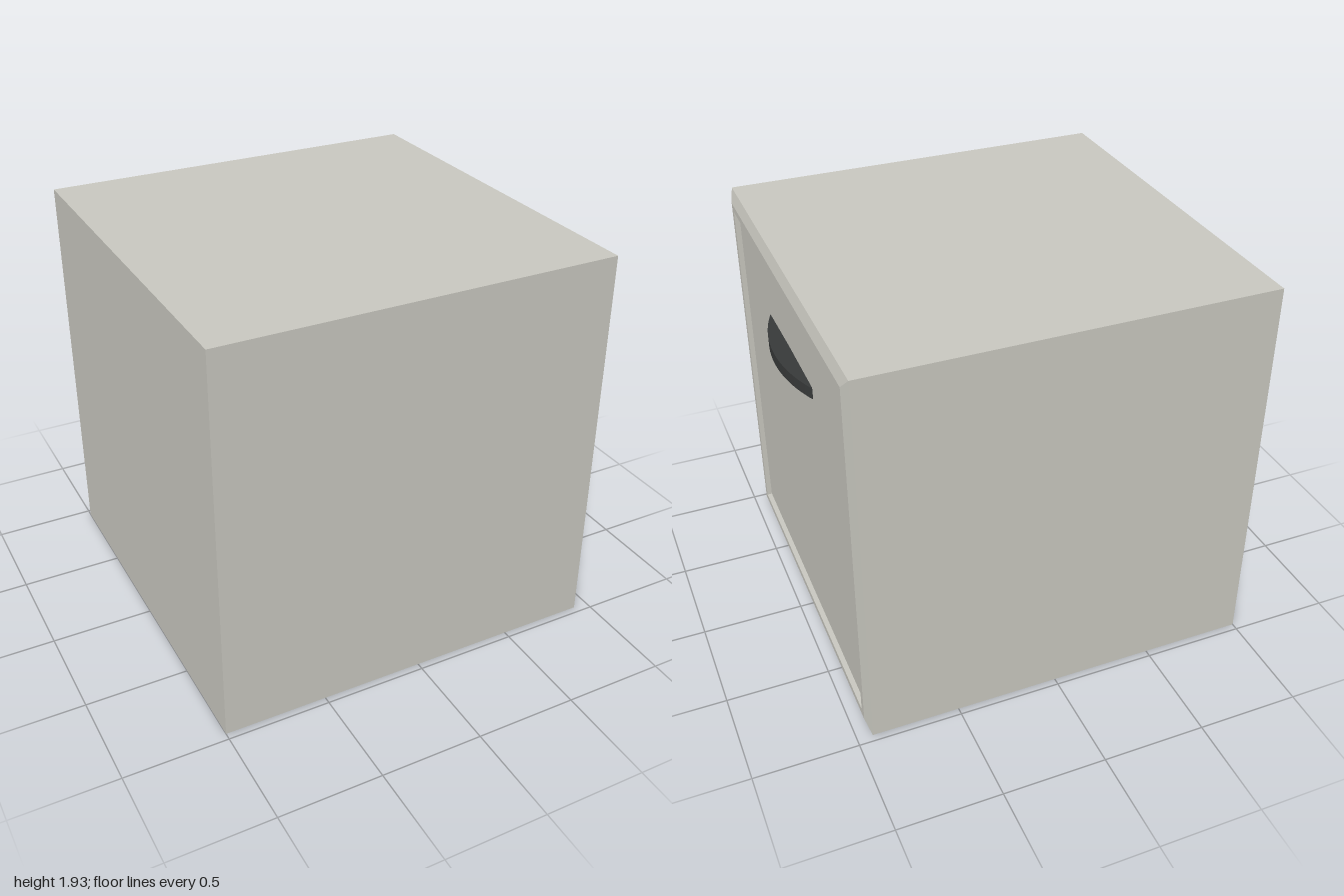
import * as THREE from 'three';

const HALF = 0.965; // half the cabinet's width and height
const PANEL_X = 0.92; // face of the recessed door panel

export function createModel() {
  const group = new THREE.Group();
  const paint = new THREE.MeshStandardMaterial({ color: 0xcac9c1 });
  paint.name = 'warm grey paint';
  const dark = new THREE.MeshStandardMaterial({ color: 0x383a3a });
  dark.name = 'dark handle';

  const add = (name, geometry, material) => {
    const mesh = new THREE.Mesh(geometry, material);
    mesh.name = name;
    group.add(mesh);
    return mesh;
  };

  // Cabinet: square profile of [half size, x], with bevelled rim and door recess
  const profile = [
    [0, -1], [HALF, -1], [HALF, 0.925], [0.908, 0.945], [0.875, 0.945], [0.875, PANEL_X],
  ].map(([h, x]) => new THREE.Vector2(h * Math.SQRT2, x));
  const body = new THREE.LatheGeometry(profile, 4, Math.PI / 4).toNonIndexed();
  body.computeVertexNormals();
  body.rotateZ(-Math.PI / 2);
  add('cabinet', body, paint).position.y = HALF;

  // Door panel set into the recess
  const panel = new THREE.BoxGeometry(0.02, 1.75, 1.75);
  add('doorPanel', panel, paint).position.set(PANEL_X - 0.01, HALF, 0);

  // Handle: a solid circular segment standing out from the panel
  const radius = 0.845;
  const angle = Math.asin(0.35 / radius);
  const arc = new THREE.Shape();
  arc.moveTo(PANEL_X - 0.005, -0.35);
  arc.absarc(1 - radius, 0, radius, -angle, angle, false);
  arc.lineTo(PANEL_X - 0.005, 0.35);
  const handle = new THREE.ExtrudeGeometry(arc, { depth: 0.056, bevelEnabled: false, curveSegments: 32 });
  handle.rotateX(-Math.PI / 2);
  add('handle', handle, dark).position.y = 1.477;

  return group;
}
